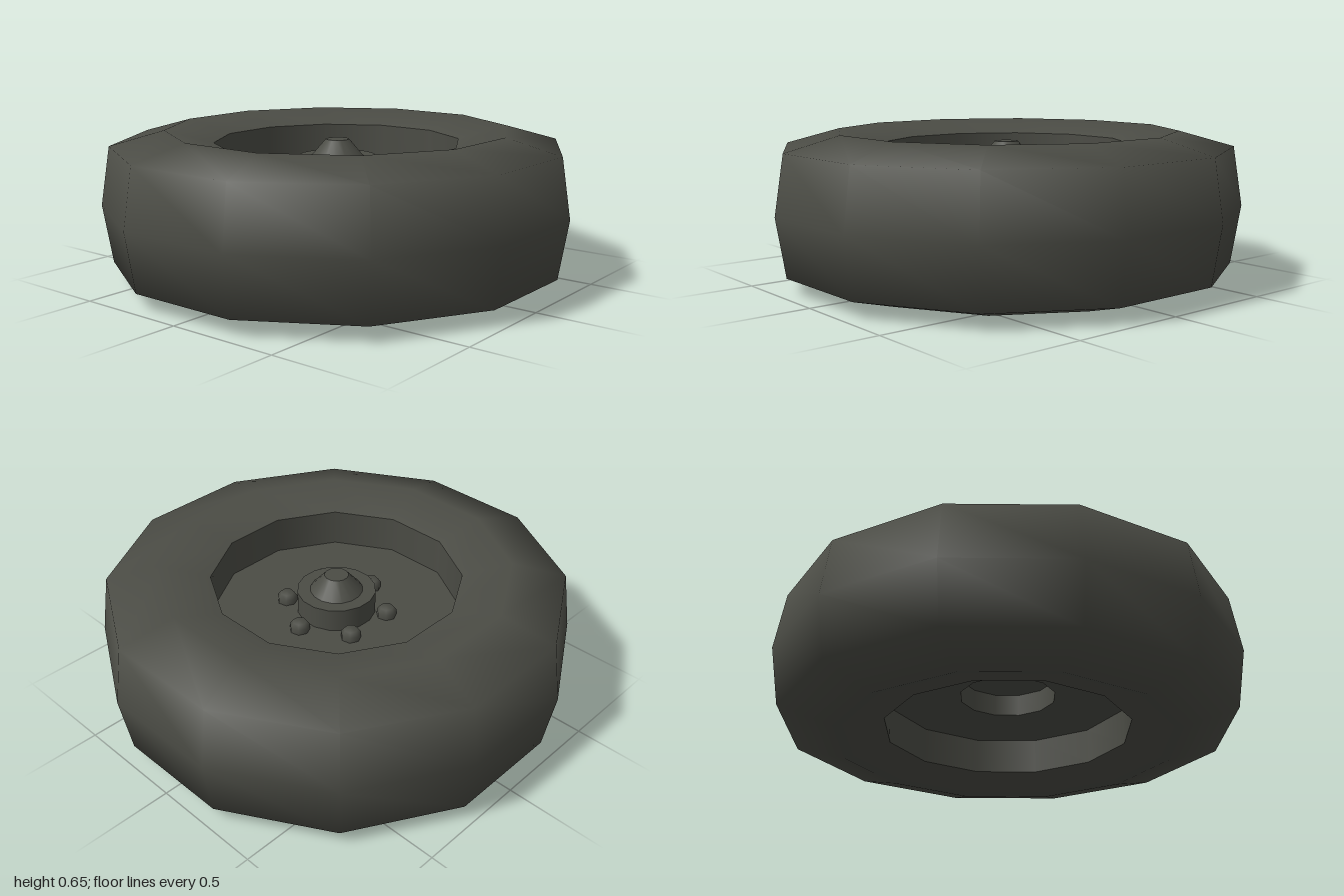
import * as THREE from 'three';

export function createModel() {
  const wheel = new THREE.Group();
  wheel.name = 'wheel';
  const rubber = new THREE.MeshStandardMaterial({ color: 0x4b4c45 });
  rubber.name = 'dark grey';

  // Turned part: each profile is smooth by itself, separate profiles meet in a hard edge
  function turned(name, sides, ...profiles) {
    const group = new THREE.Group();
    group.name = name;
    for (const profile of profiles) {
      const points = profile.map(([r, y]) => new THREE.Vector2(r, y));
      const geometry = new THREE.LatheGeometry(points, sides, Math.PI / sides);
      const mesh = new THREE.Mesh(geometry, rubber);
      mesh.name = name + 'Surface';
      group.add(mesh);
    }
    wheel.add(group);
    return group;
  }

  const rim = 0.544, rimTop = 0.592, rimBottom = 0.058;
  const floorTop = 0.425, floorBottom = 0.22, hubTop = 0.527;

  // Tyre: rounded twelve-sided ring, its side walls dipping towards the rim
  turned('tyre', 12, [
    [rim, rimBottom], [0.756, 0], [0.994, 0.068], [1.035, 0.325],
    [0.994, 0.584], [0.756, 0.65], [rim, rimTop],
  ]);

  // Rim walls and wheel disc, recessed on both sides
  turned('rimWall', 12, [[rim, rimTop], [rim, floorTop]], [[rim, floorBottom], [rim, rimBottom]]);
  turned('wheelDisc', 12, [[rim, floorTop], [0, floorTop]], [[0.213, floorBottom], [rim, floorBottom]]);

  // Axle socket on the underside
  turned('axleSocket', 12, [[0, 0.32], [0.213, 0.32]], [[0.213, 0.32], [0.213, floorBottom]]);

  // Hub with conical cap
  turned('hub', 16, [[0.172, floorTop], [0.172, hubTop]], [[0.172, hubTop], [0, hubTop]]);
  turned('hubCap', 16, [[0.115, hubTop], [0.052, 0.6]], [[0.052, 0.6], [0, 0.6]]);

  // Six wheel nuts
  for (let i = 0; i < 6; i++) {
    const a = (i * Math.PI) / 3;
    const nut = turned('wheelNut', 7, [
      [0.044, floorTop], [0.044, floorTop + 0.025], [0.03, floorTop + 0.044], [0, floorTop + 0.046],
    ]);
    nut.position.set(0.225 * Math.cos(a), 0, 0.225 * Math.sin(a));
  }
  return wheel;
}
